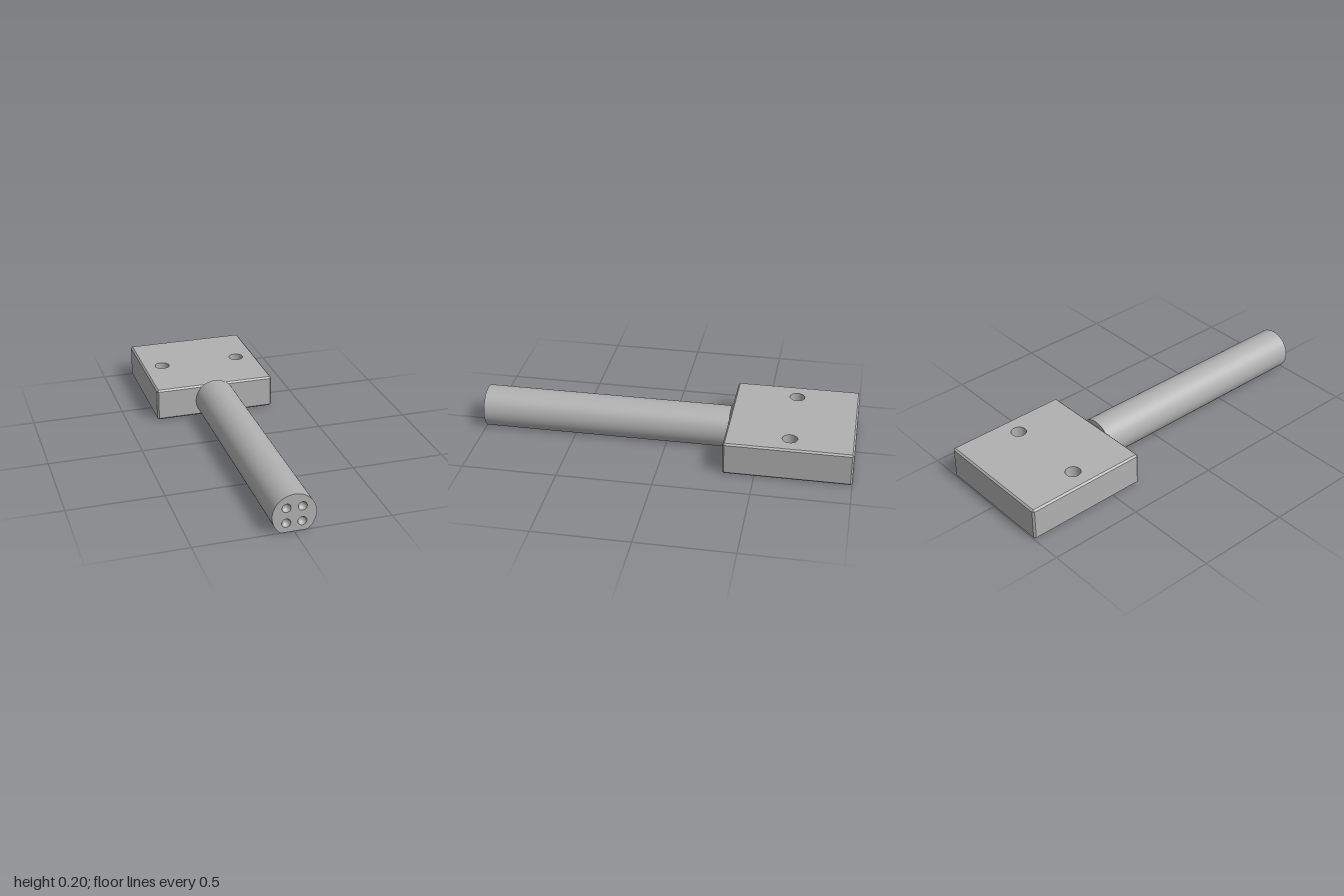
import * as THREE from 'three';

const W = 0.333, H = 0.178, C = 0.009, BLOCK_Z = -0.667;   // block half width, height, chamfer, centre
const R = 0.111, RY = 0.089, BACK = -0.335, FRONT = 1;     // rod radius, axis height, ends

const gray = new THREE.MeshStandardMaterial({ color: 0xb0b0b0, side: THREE.DoubleSide });
gray.name = 'gray';

function add(group, name, geometry, x = 0, y = 0, z = 0) {
  const mesh = new THREE.Mesh(geometry, gray);
  mesh.name = name;
  mesh.position.set(x, y, z);
  group.add(mesh);
  return mesh;
}

function circleHole(x, y, r) {
  return new THREE.Path().absarc(x, y, r, 0, Math.PI * 2, true);
}

// Chamfered sides: four outlines stacked from bottom to top
function blockSides() {
  const i = W - C;
  const outline = (e) => [[e, -i], [e, i], [i, e], [-i, e], [-e, i], [-e, -i], [-i, -e], [i, -e]];
  const rings = [[0, i], [C, W], [H - C, W], [H, i]].map(([y, e]) =>
    outline(e).map(([x, z]) => new THREE.Vector3(x, y, z)));
  const points = [];
  const tri = (a, b, c) => {
    if (a.distanceTo(b) > 1e-6 && b.distanceTo(c) > 1e-6 && c.distanceTo(a) > 1e-6) points.push(a, b, c);
  };
  for (let k = 0; k < 3; k++) {
    for (let j = 0; j < 8; j++) {
      const n = (j + 1) % 8;
      const [a, b, c, d] = [rings[k][j], rings[k][n], rings[k + 1][n], rings[k + 1][j]];
      tri(a, c, b);
      tri(a, d, c);
    }
  }
  const geometry = new THREE.BufferGeometry().setFromPoints(points);
  geometry.computeVertexNormals();
  return geometry;
}

function createBlock() {
  const block = new THREE.Group();
  block.name = 'block';
  block.position.z = BLOCK_Z;
  add(block, 'blockSides', blockSides());

  // Top and bottom faces, pierced by two mounting holes
  const i = W - C, holeX = 0.222, holeR = 0.04;
  const face = new THREE.Shape([[-i, -i], [i, -i], [i, i], [-i, i]].map(([x, y]) => new THREE.Vector2(x, y)));
  for (const s of [-1, 1]) face.holes.push(circleHole(s * holeX, 0, holeR));
  add(block, 'blockTop', new THREE.ShapeGeometry(face, 32).rotateX(-Math.PI / 2), 0, H);
  add(block, 'blockBottom', new THREE.ShapeGeometry(face, 32).rotateX(Math.PI / 2));
  for (const s of [-1, 1]) {
    add(block, 'mountingHole', new THREE.CylinderGeometry(holeR, holeR, H, 64, 1, true), s * holeX, H / 2);
  }
  return block;
}

function createRod() {
  const rod = new THREE.Group();
  rod.name = 'rod';
  const length = FRONT - BACK, mid = (FRONT + BACK) / 2;
  const gap = Math.acos(RY / R);               // half angle of the flat underside
  const chord = 2 * R * Math.sin(gap);

  // Round wall and flat underside
  const wall = new THREE.CylinderGeometry(R, R, length, 96, 1, true, gap, Math.PI * 2 - 2 * gap);
  add(rod, 'rodWall', wall.rotateX(Math.PI / 2), 0, RY, mid);
  add(rod, 'rodFlat', new THREE.PlaneGeometry(chord, length).rotateX(Math.PI / 2), 0, 0, mid);

  // End faces; the front one has four round dimples
  const outline = () => new THREE.Shape().absarc(0, RY, R, -Math.PI / 2 + gap, Math.PI * 1.5 - gap, false);
  add(rod, 'rodBack', new THREE.ShapeGeometry(outline(), 96).rotateY(Math.PI), 0, 0, BACK);
  const front = outline();
  const r = 0.0225;
  for (const x of [-0.04, 0.04]) {
    for (const y of [0.05, 0.13]) {
      front.holes.push(circleHole(x, y, r));
      const bowl = new THREE.SphereGeometry(r, 48, 12, 0, Math.PI * 2, 0, Math.PI / 2);
      add(rod, 'dimple', bowl.rotateX(-Math.PI / 2), x, y, FRONT);
    }
  }
  add(rod, 'rodFront', new THREE.ShapeGeometry(front, 96), 0, 0, FRONT);
  return rod;
}

export function createModel() {
  const model = new THREE.Group();
  model.name = 'blockWithRod';
  model.add(createBlock(), createRod());
  return model;
}
